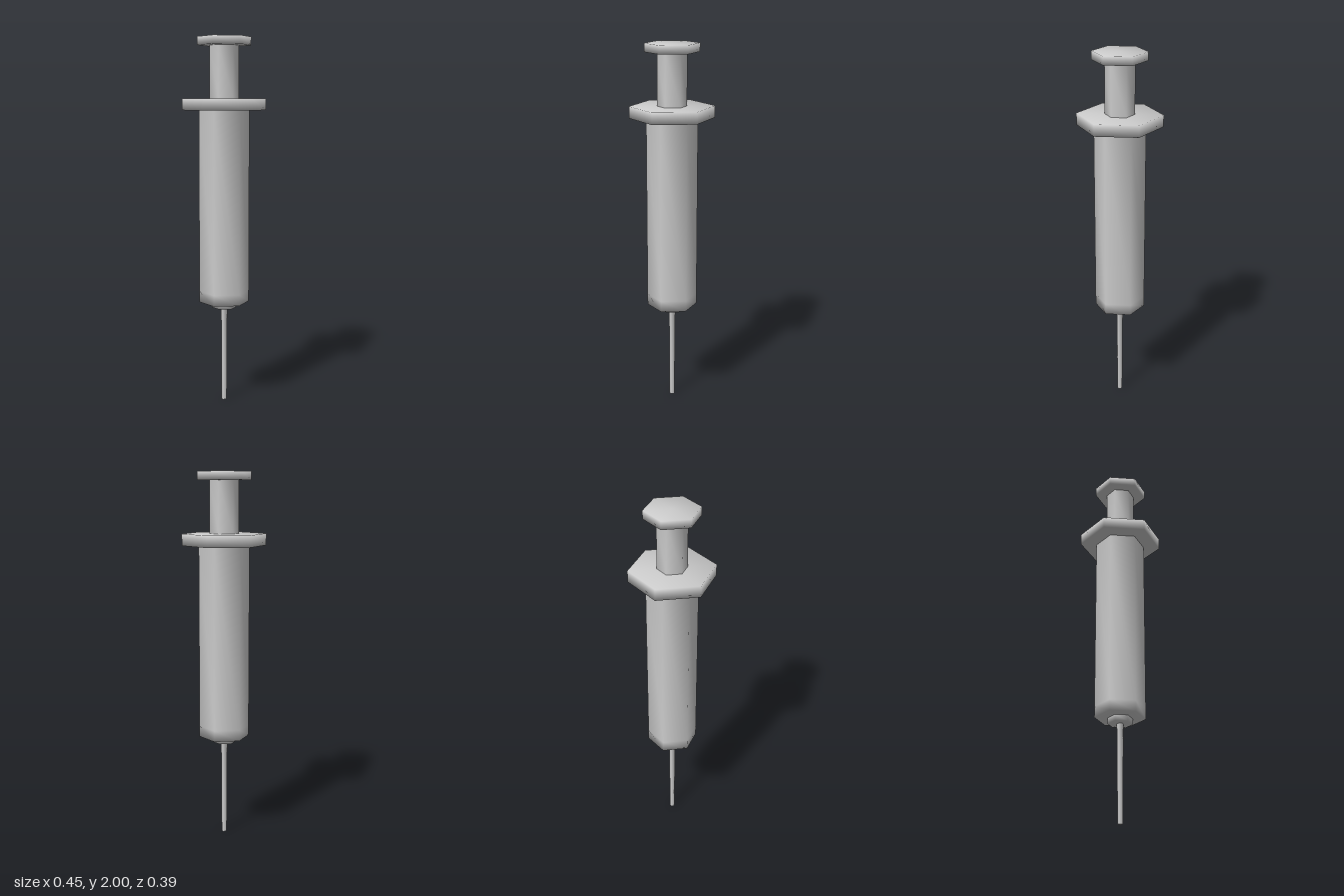
import * as THREE from 'three';
import { mergeVertices } from 'three/addons/utils/BufferGeometryUtils.js';

const SIDES = 6;

// Six-sided turned part from [radius, y] pairs, bottom to top, corners on the x axis,
// welded so the shading runs smoothly over every edge.
function turned(name, profile, material) {
  const points = profile.map(([r, y]) => new THREE.Vector2(r, y));
  let geometry = new THREE.LatheGeometry(points, SIDES, Math.PI / 2);
  geometry.deleteAttribute('normal');
  geometry.deleteAttribute('uv');
  geometry = mergeVertices(geometry, 1e-4);
  geometry.computeVertexNormals();
  const mesh = new THREE.Mesh(geometry, material);
  mesh.name = name;
  return mesh;
}

// Closed disc profile
const disc = (r, y0, y1) => [[0, y0], [r, y0], [r, y1], [0, y1]];

export function createModel() {
  const group = new THREE.Group();
  group.name = 'syringe';
  const material = new THREE.MeshStandardMaterial({ color: 0xcccccc, side: THREE.DoubleSide });

  const parts = {
    // Thin needle, slightly tapered towards the tip
    needle: [[0, 0], [0.014, 0], [0.0165, 0.45], [0.019, 0.535]],
    // Small collar holding the needle
    needleHub: [[0, 0.528], [0.067, 0.528], [0.067, 0.56]],
    // Main barrel, with a supporting ring near its closed lower end
    barrel: [[0, 0.56], [0.137, 0.56], [0.137, 0.62], [0.137, 1.612]],
    // Finger flange
    fingerFlange: disc(0.227, 1.612, 1.675),
    // Plunger rod, open where it meets the flange and thumb rest
    plungerRod: [[0.079, 1.675], [0.079, 1.955]],
    // Thumb rest
    thumbRest: disc(0.145, 1.955, 2),
  };
  for (const [name, profile] of Object.entries(parts)) {
    group.add(turned(name, profile, material));
  }
  return group;
}
